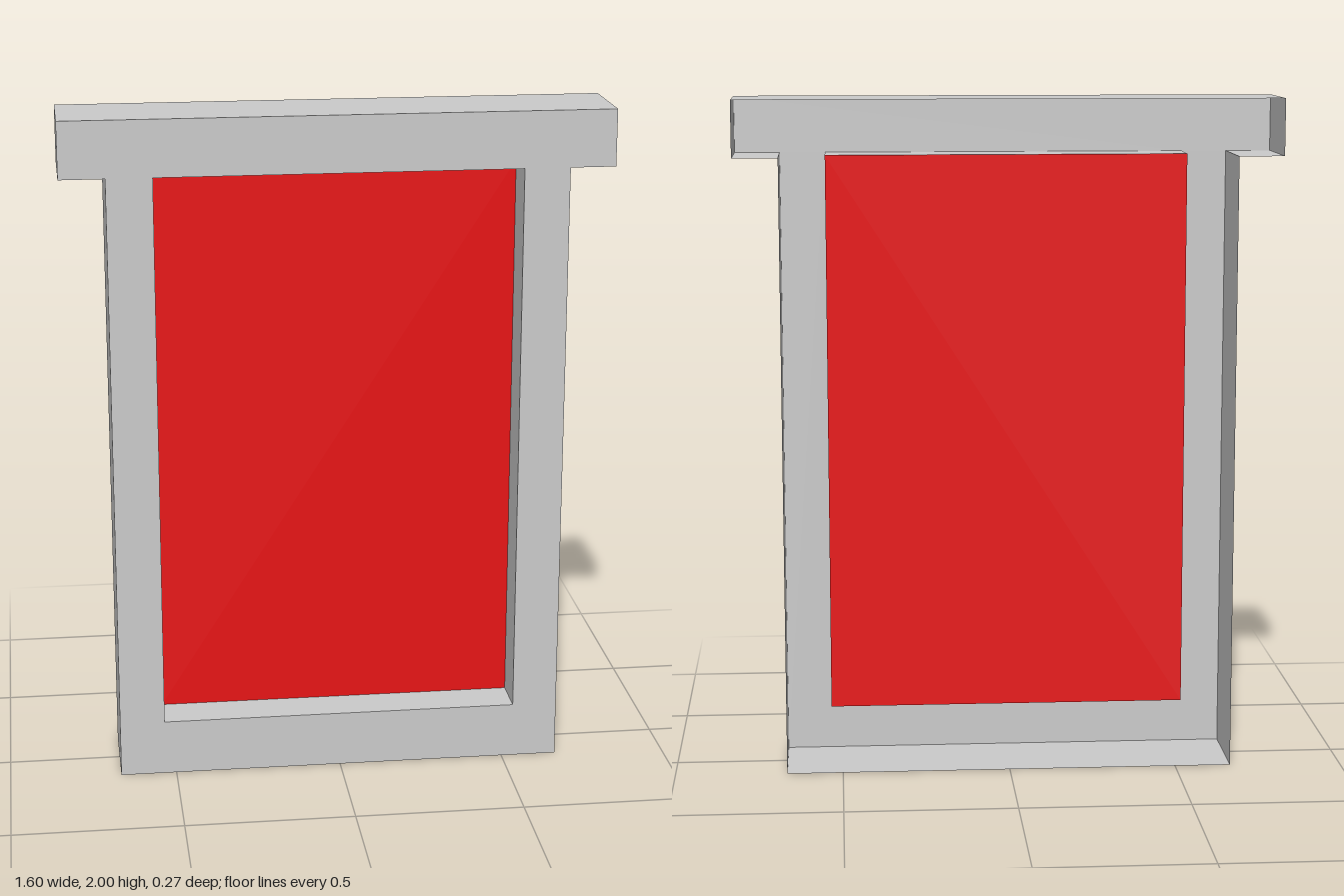
import * as THREE from 'three';

const FRONT = 0.133, BACK = -0.133, PANEL_Z = 0;
const grey = new THREE.MeshStandardMaterial({ color: 0xcccccc, side: THREE.DoubleSide });
const red = new THREE.MeshStandardMaterial({ color: 0xe91113, side: THREE.DoubleSide });

// Thin walls following a closed outline between two depths, with sharp corners
function wallsAlong(points, back, front) {
  const pos = [];
  points.forEach((a, i) => {
    const b = points[(i + 1) % points.length];
    pos.push(a.x, a.y, back, b.x, b.y, back, b.x, b.y, front);
    pos.push(a.x, a.y, back, b.x, b.y, front, a.x, a.y, front);
  });
  const geometry = new THREE.BufferGeometry();
  geometry.setAttribute('position', new THREE.Float32BufferAttribute(pos, 3));
  geometry.computeVertexNormals();
  return geometry;
}

const toPoints = (list) => list.map(([x, y]) => new THREE.Vector2(x, y));

export function createModel() {
  const group = new THREE.Group();
  group.name = 'framedPanel';

  const add = (name, geometry, material, z = 0) => {
    const mesh = new THREE.Mesh(geometry, material);
    mesh.name = name;
    mesh.position.z = z;
    group.add(mesh);
  };

  // T-shaped outline: upright frame with an overhanging top bar
  const outline = toPoints([
    [-0.667, 0], [0.667, 0], [0.667, 1.833], [0.8, 1.833],
    [0.8, 2], [-0.8, 2], [-0.8, 1.833], [-0.667, 1.833],
  ]);
  // Opening, clockwise so its walls face inward
  const opening = toPoints([[-0.533, 0.167], [-0.533, 1.833], [0.533, 1.833], [0.533, 0.167]]);

  // Front face with the opening cut out
  const face = new THREE.Shape(outline);
  face.holes.push(new THREE.Path(opening));
  add('frontFace', new THREE.ShapeGeometry(face), grey, FRONT);

  // Outer shell, open at the back
  add('outerWalls', wallsAlong(outline, BACK, FRONT), grey);

  // Recess leading to the panel
  add('recessWalls', wallsAlong(opening, PANEL_Z, FRONT), grey);

  // Coloured panel at the bottom of the recess
  const panel = new THREE.PlaneGeometry(1.066, 1.666);
  panel.translate(0, 1, 0);
  add('panel', panel, red, PANEL_Z);

  return group;
}
